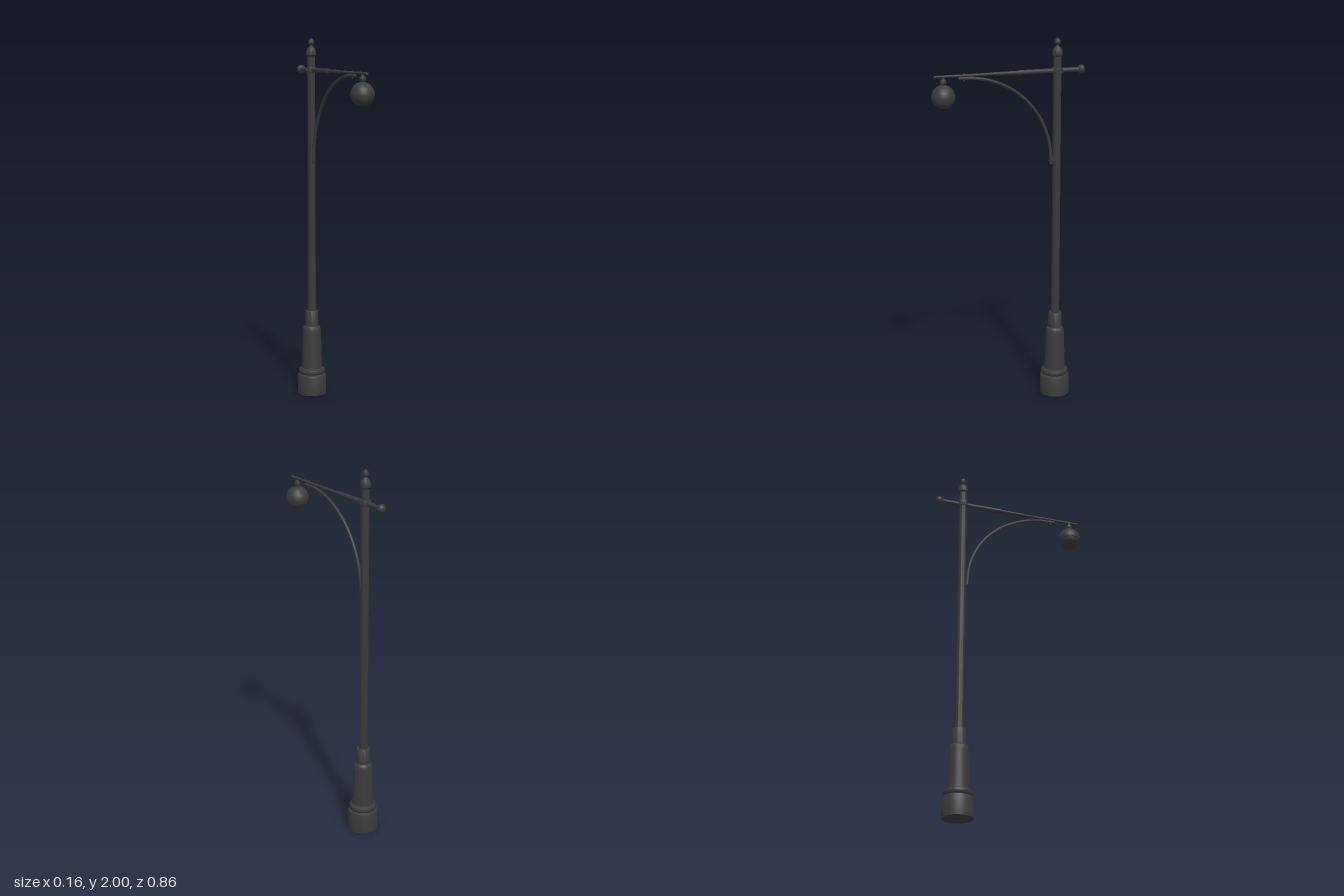
import * as THREE from 'three';
import { toCreasedNormals } from 'three/addons/utils/BufferGeometryUtils.js';

const POLE_Z = -0.272, ARM_Y = 1.826, LAMP_Z = 0.365;

export function createModel() {
  const model = new THREE.Group();
  model.name = 'streetLamp';
  const iron = new THREE.MeshStandardMaterial({ color: 0x3a3a3a });

  function add(name, geometry, x = 0, y = 0, z = 0) {
    const mesh = new THREE.Mesh(geometry, iron);
    mesh.name = name;
    mesh.position.set(x, y, z);
    model.add(mesh);
    return mesh;
  }
  // Turned part from [radius, height] pairs, bottom to top
  function turned(name, profile, z) {
    const points = profile.map(([r, y]) => new THREE.Vector2(r, y));
    return add(name, toCreasedNormals(new THREE.LatheGeometry(points, 32), 0.6), 0, 0, z);
  }
  // Round rod along z
  function rodZ(name, radius, z0, z1, y) {
    const geometry = new THREE.CylinderGeometry(radius, radius, z1 - z0, 20).rotateX(Math.PI / 2);
    return add(name, geometry, 0, y, (z0 + z1) / 2);
  }

  // Stepped base with a rounded ring
  turned('base', [
    [0, 0], [0.081, 0], [0.081, 0.103], [0.078, 0.111], [0.068, 0.116],
    [0.072, 0.119], [0.075, 0.127], [0.075, 0.135], [0.072, 0.143], [0.064, 0.147],
    [0.058, 0.15], [0.057, 0.16], [0.052, 0.36], [0.05, 0.375], [0.045, 0.387], [0.038, 0.392],
    [0.036, 0.475], [0.034, 0.478], [0, 0.478],
  ], POLE_Z);

  // Straight pole
  turned('pole', [[0, 0.47], [0.0235, 0.47], [0.0215, 1.905], [0, 1.905]], POLE_Z);

  // Finial: acorn cap and a pointed bead
  turned('finial', [
    [0, 1.9], [0.021, 1.9], [0.027, 1.907], [0.028, 1.917], [0.026, 1.932], [0.02, 1.945],
    [0.011, 1.953], [0.008, 1.958], [0.012, 1.963], [0.0165, 1.973], [0.0165, 1.98],
    [0.012, 1.99], [0.005, 1.997], [0, 2],
  ], POLE_Z);

  // Clamp holding the arm
  turned('armClamp', [
    [0.02, 1.811], [0.028, 1.811], [0.029, 1.815], [0.029, 1.838], [0.028, 1.842], [0.02, 1.842],
  ], POLE_Z);
  for (const side of [-1, 1]) {
    const bolt = add('clampBolt', new THREE.CylinderGeometry(0.006, 0.006, 0.008, 12), side * 0.029, ARM_Y, POLE_Z);
    bolt.rotation.z = Math.PI / 2;
  }

  // Telescoping arm and its rear knob
  rodZ('armRear', 0.0125, -0.405, -0.048, ARM_Y);
  rodZ('armMiddle', 0.0095, -0.05, 0.09, ARM_Y);
  rodZ('armFront', 0.0075, 0.08, 0.415, ARM_Y);
  add('armKnob', new THREE.SphereGeometry(0.0245, 24, 16).scale(1, 1, 0.82), 0, ARM_Y, -0.41);

  // Quarter-ellipse brace with short straight ends
  const path = [new THREE.Vector3(0, 1.325, -0.24)];
  for (let i = 0; i <= 16; i++) {
    const a = (i / 16) * Math.PI / 2;
    path.push(new THREE.Vector3(0, 1.345 + 0.466 * Math.sin(a), 0.245 - 0.484 * Math.cos(a)));
  }
  path.push(new THREE.Vector3(0, 1.812, 0.275));
  add('brace', new THREE.TubeGeometry(new THREE.CatmullRomCurve3(path), 64, 0.0085, 12));
  for (const [end, sign] of [[path[0], -1], [path[path.length - 1], 1]]) {
    add('braceEnd', new THREE.SphereGeometry(0.0085, 12, 8), end.x, end.y, end.z).scale.z = sign > 0 ? 1 : 0.9;
  }
  add('braceTopBolt', new THREE.CylinderGeometry(0.0045, 0.0045, 0.042, 12), 0, 1.817, 0.25);
  rodZ('bracePoleBolt', 0.0045, -0.255, -0.228, 1.34);

  // Hanging lamp: stem, domed shade with rim, and globe below
  turned('lampShade', [
    [0.056, 1.71], [0.0625, 1.71], [0.0635, 1.715], [0.062, 1.73], [0.056, 1.748], [0.045, 1.764],
    [0.031, 1.776], [0.018, 1.781], [0.012, 1.784], [0.016, 1.79], [0.0175, 1.798],
    [0.015, 1.808], [0.008, 1.814], [0.006, 1.826], [0, 1.826],
  ], LAMP_Z);
  const globe = [];
  for (let i = 0; i <= 12; i++) {
    const a = (i / 12) * Math.PI / 2;
    globe.push([0.059 * Math.sin(a), 1.714 - 0.054 * Math.cos(a)]);
  }
  turned('lampGlobe', globe, LAMP_Z);

  return model;
}
